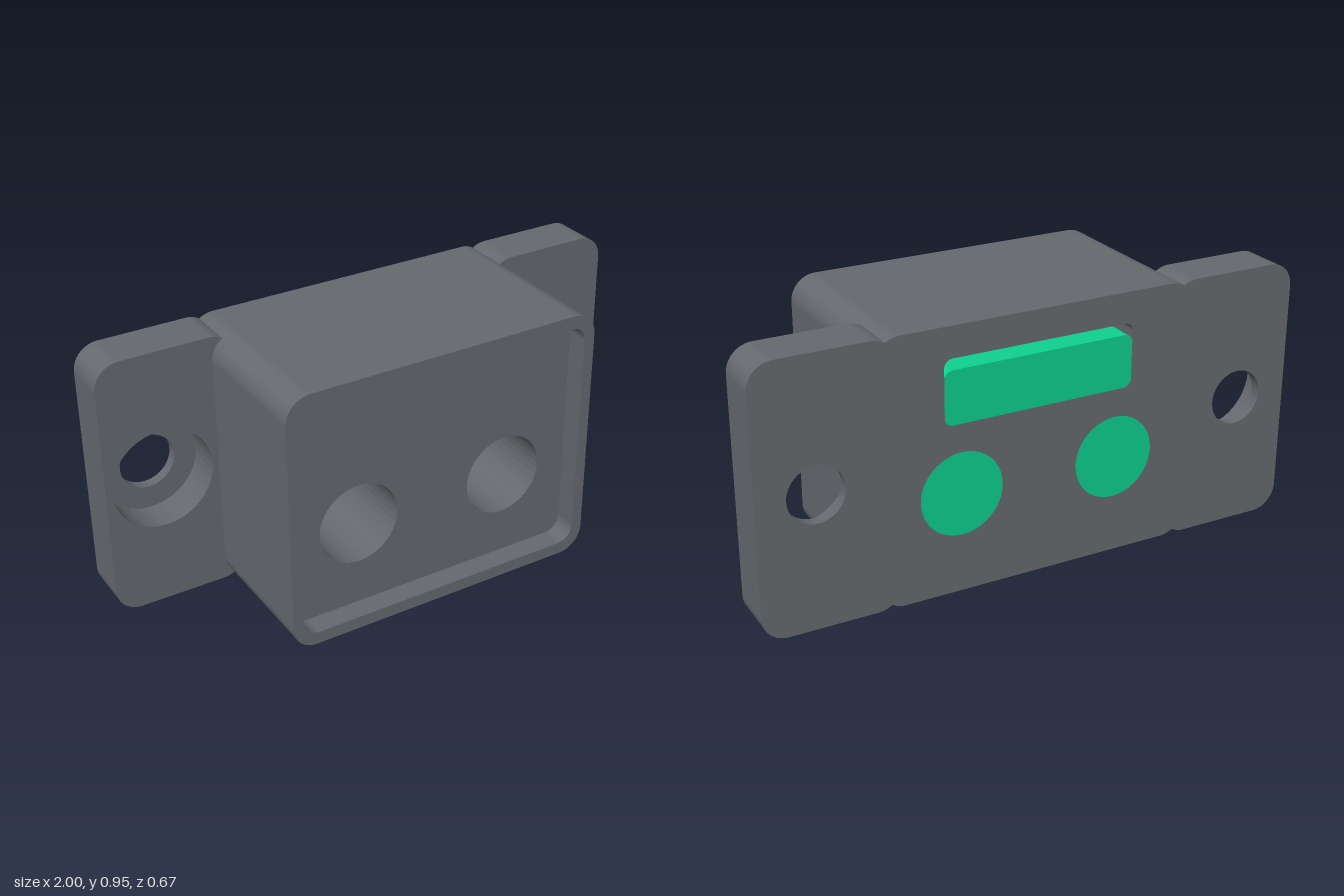
import * as THREE from 'three';

const BACK = -0.335, FRONT = 0.335, H = 0.95;

// Rounded rectangle outline; works as a shape or a hole
function roundedRect(x0, x1, y0, y1, r, Type = THREE.Shape) {
  const s = new Type();
  s.absarc(x1 - r, y0 + r, r, -Math.PI / 2, 0);
  s.absarc(x1 - r, y1 - r, r, 0, Math.PI / 2);
  s.absarc(x0 + r, y1 - r, r, Math.PI / 2, Math.PI);
  s.absarc(x0 + r, y0 + r, r, Math.PI, Math.PI * 1.5);
  s.closePath();
  return s;
}

function circle(x, y, r, Type = THREE.Path) {
  const s = new Type();
  s.absarc(x, y, r, 0, Math.PI * 2);
  return s;
}

export function createModel() {
  const group = new THREE.Group();
  const grey = new THREE.MeshStandardMaterial({ color: 0x666a6f });
  const green = new THREE.MeshStandardMaterial({ color: 0x0fd08f });

  // Extrudes an outline with holes between two z planes
  const slab = (name, shape, holes, z0, z1, material = grey) => {
    shape.holes.push(...holes);
    const geo = new THREE.ExtrudeGeometry(shape, { depth: z1 - z0, bevelEnabled: false, curveSegments: 20 });
    const mesh = new THREE.Mesh(geo, material);
    mesh.position.z = z0;
    mesh.name = name;
    group.add(mesh);
  };

  const outline = () => roundedRect(-0.59, 0.59, 0, H, 0.09);
  const bores = () => [-0.29, 0.29].map(x => circle(x, 0.36, 0.15));
  const slot = roundedRect(-0.35, 0.35, 0.61, 0.84, 0.03, THREE.Path);

  // Housing: slotted back, bored middle, thin rim round the front recess
  slab('housingBack', outline(), [...bores(), slot], BACK, -0.2);
  slab('housingMiddle', outline(), bores(), -0.2, FRONT - 0.08);
  slab('housingRim', outline(), [roundedRect(-0.55, 0.55, 0.045, 0.905, 0.06, THREE.Path)], FRONT - 0.08, FRONT);

  // Mounting flanges with counterbored screw holes
  for (const [side, s] of [['left', 1], ['right', -1]]) {
    const x0 = s > 0 ? 0.51 : -1, x1 = s > 0 ? 1 : -0.51;
    const flange = () => roundedRect(x0, x1, 0, H, 0.09);
    slab(side + 'FlangeBack', flange(), [circle(s * 0.795, 0.478, 0.1)], BACK, -0.295);
    slab(side + 'FlangeFront', flange(), [circle(s * 0.795, 0.478, 0.182)], -0.295, -0.165);
  }

  // Green inserts closing the bores and the slot, flush with the back
  for (const [side, x] of [['left', 0.29], ['right', -0.29]]) {
    slab(side + 'BorePlug', circle(x, 0.36, 0.15, THREE.Shape), [], BACK, -0.26, green);
  }
  slab('slotInsert', roundedRect(-0.35, 0.35, 0.61, 0.8, 0.03), [], BACK, -0.2, green);

  return group;
}
